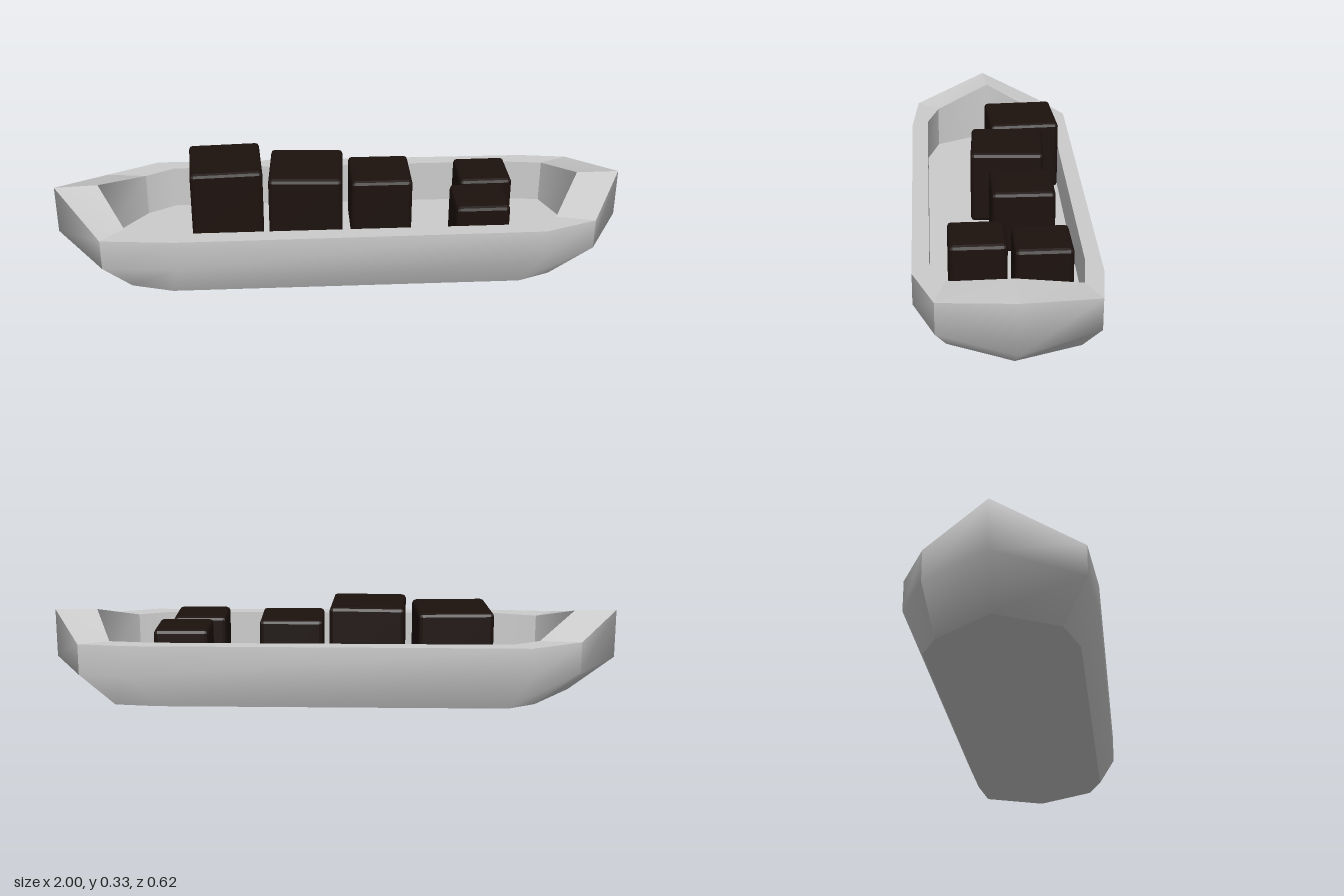
import * as THREE from 'three';
import { RoundedBoxGeometry } from 'three/addons/geometries/RoundedBoxGeometry.js';
import { mergeGeometries } from 'three/addons/utils/BufferGeometryUtils.js';

// Plan outlines [x, z], starting at the -x tip and running along the back to the +x tip
const OUTER = [[-1, 0], [-0.84, -0.22], [-0.66, -0.31], [0.7, -0.285], [0.87, -0.26],
  [1, 0], [0.865, 0.24], [0.68, 0.305], [-0.57, 0.3], [-0.82, 0.275]];
const INNER = [[-0.85, -0.01], [-0.7, -0.2], [-0.6, -0.255], [0.62, -0.235], [0.77, -0.215],
  [0.85, 0], [0.735, 0.205], [0.62, 0.25], [-0.6, 0.24], [-0.745, 0.195]];
const N = OUTER.length;
const FLOOR = 0.07, RIM = 0.225, TIP = 0.29;

// Smooth stretches of the outline: the two long sides and the two pointed ends
const STRETCHES = [[1, 4], [4, 6], [6, 9], [9, 11]];
const SINGLE = OUTER.map((_, i) => [i, i + 1]);

const ring = (outline, y, tipY = y) =>
  outline.map(([x, z], i) => [x, i % 5 === 0 ? tipY : y, z]);
const point = (y) => OUTER.map(() => [0, y, 0]);

// Skin through a list of rings, split into separately smoothed stretches
function skin(rings, stretches) {
  const parts = stretches.map(([from, to]) => {
    const pos = [], index = [], w = to - from + 1;
    rings.forEach((r, k) => {
      for (let j = 0; j < w; j++) {
        pos.push(...r[(from + j) % N]);
        if (k === rings.length - 1 || j === w - 1) continue;
        const a = k * w + j;
        index.push(a, a + 1, a + w + 1, a, a + w + 1, a + w);
      }
    });
    const g = new THREE.BufferGeometry();
    g.setAttribute('position', new THREE.Float32BufferAttribute(pos, 3));
    g.setIndex(index);
    g.computeVertexNormals();
    return g;
  });
  return mergeGeometries(parts);
}

export function createModel() {
  const model = new THREE.Group();
  model.name = 'cargoBoat';
  const grey = new THREE.MeshStandardMaterial({ color: 0xcccccc });
  const brown = new THREE.MeshStandardMaterial({ color: 0x1c110d, flatShading: true });

  const add = (name, geometry, material, parent = model) => {
    const mesh = new THREE.Mesh(geometry, material);
    mesh.name = name;
    parent.add(mesh);
    return mesh;
  };

  // Hull, from the deck floor up over the rim and down to the flat bottom
  const floor = ring(INNER, FLOOR), innerRim = ring(INNER, RIM, TIP);
  const outerRim = ring(OUTER, RIM, TIP), chine = ring(OUTER, 0.118);
  const keel = ring(INNER.map(([x, z]) => [x * 0.985, z]), 0);
  const hull = new THREE.Group();
  hull.name = 'hull';
  model.add(hull);
  add('deckFloor', skin([point(FLOOR), floor], SINGLE), grey, hull);
  add('innerWall', skin([floor, innerRim], STRETCHES), grey, hull);
  add('rim', skin([innerRim, outerRim], SINGLE), grey, hull);
  add('outerWall', skin([outerRim, chine, keel], STRETCHES), grey, hull);
  add('bottom', skin([keel, point(0)], SINGLE), grey, hull);

  // Chamfered cargo crates: x, z, side, turn
  const crates = [
    [-0.405, -0.115, 0.255, 0.045],
    [-0.117, -0.042, 0.258, -0.065],
    [0.149, -0.075, 0.217, -0.01],
    [0.527, -0.11, 0.187, 0],
    [0.485, 0.096, 0.187, 0],
  ];
  const cargo = new THREE.Group();
  cargo.name = 'cargo';
  model.add(cargo);
  crates.forEach(([x, z, s, turn], i) => {
    const crate = add(`crate${i + 1}`, new RoundedBoxGeometry(s, s + 0.004, s, 1, 0.013), brown, cargo);
    crate.position.set(x, FLOOR + (s + 0.004) / 2, z);
    crate.rotation.y = turn;
  });
  return model;
}
